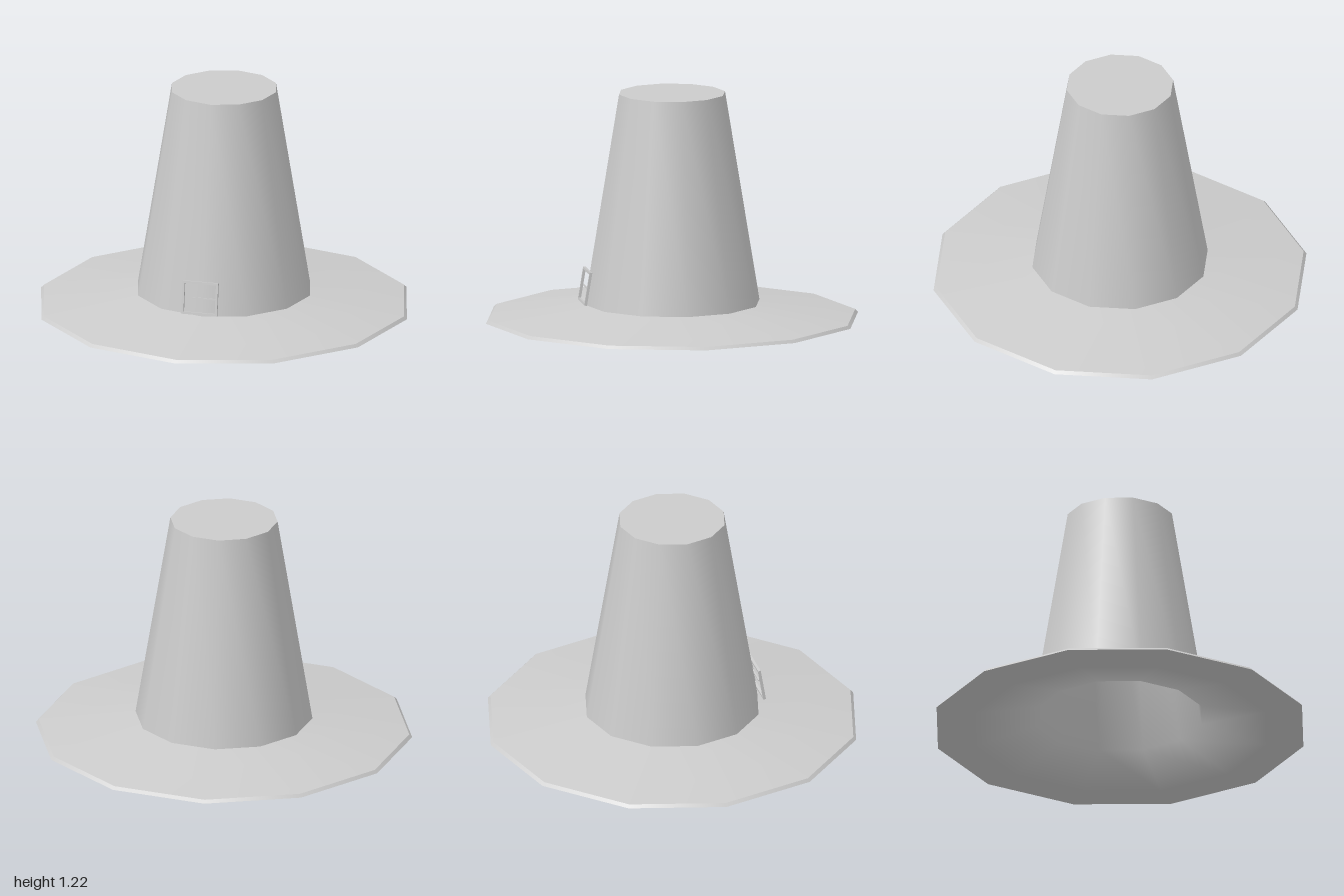
import * as THREE from 'three';

const SIDES = 12;

export function createModel() {
  const hat = new THREE.Group();
  hat.name = 'hat';
  const felt = new THREE.MeshStandardMaterial({ color: 0xcccccc });

  // Each strip is its own lathe, so shading is smooth inside it and sharp between strips
  const turned = (name, profile) => {
    const points = profile.map(([r, y]) => new THREE.Vector2(r, y));
    const mesh = new THREE.Mesh(new THREE.LatheGeometry(points, SIDES), felt);
    mesh.name = name;
    hat.add(mesh);
  };

  // Outer shell
  turned('crownTop', [[0.285, 1.222], [0, 1.222]]);
  turned('crownWall', [[0.47, 0.1], [0.285, 1.222]]);
  turned('brimTop', [[0.985, 0.03], [0.47, 0.1]]);
  turned('brimEdge', [[1, 0.014], [0.985, 0.03]]);

  // Hollow inside, flowing from the crown into the underside of the brim
  turned('crownCeiling', [[0, 1.195], [0.265, 1.195]]);
  turned('lining', [[0.265, 1.195], [0.445, 0.08], [0.8, 0], [1, 0.014]]);

  // Buckle: a thin square frame with a prong, leaning with the crown wall
  const buckle = new THREE.Group();
  buckle.name = 'buckle';
  const w = 0.195, h = 0.178, bar = 0.012, depth = 0.014;

  const outline = (path, x, y) => path
    .moveTo(-x, -y).lineTo(x, -y).lineTo(x, y).lineTo(-x, y).closePath();
  const shape = new THREE.Shape();
  outline(shape, w / 2, h / 2);
  const hole = new THREE.Path();
  outline(hole, w / 2 - bar, h / 2 - bar);
  shape.holes.push(hole);
  const frameGeometry = new THREE.ExtrudeGeometry(shape, { depth, bevelEnabled: false });
  frameGeometry.translate(0, 0, -depth / 2);
  const frame = new THREE.Mesh(frameGeometry, felt);
  frame.name = 'buckleFrame';

  const prong = new THREE.Mesh(new THREE.BoxGeometry(0.14, 0.007, 0.008), felt);
  prong.name = 'buckleProng';
  prong.position.x = w / 2 - 0.07;

  buckle.add(frame, prong);
  buckle.position.set(-0.007, 0.198, 0.466);
  buckle.rotation.x = -Math.atan2(0.185, 1.122);
  hat.add(buckle);

  return hat;
}
